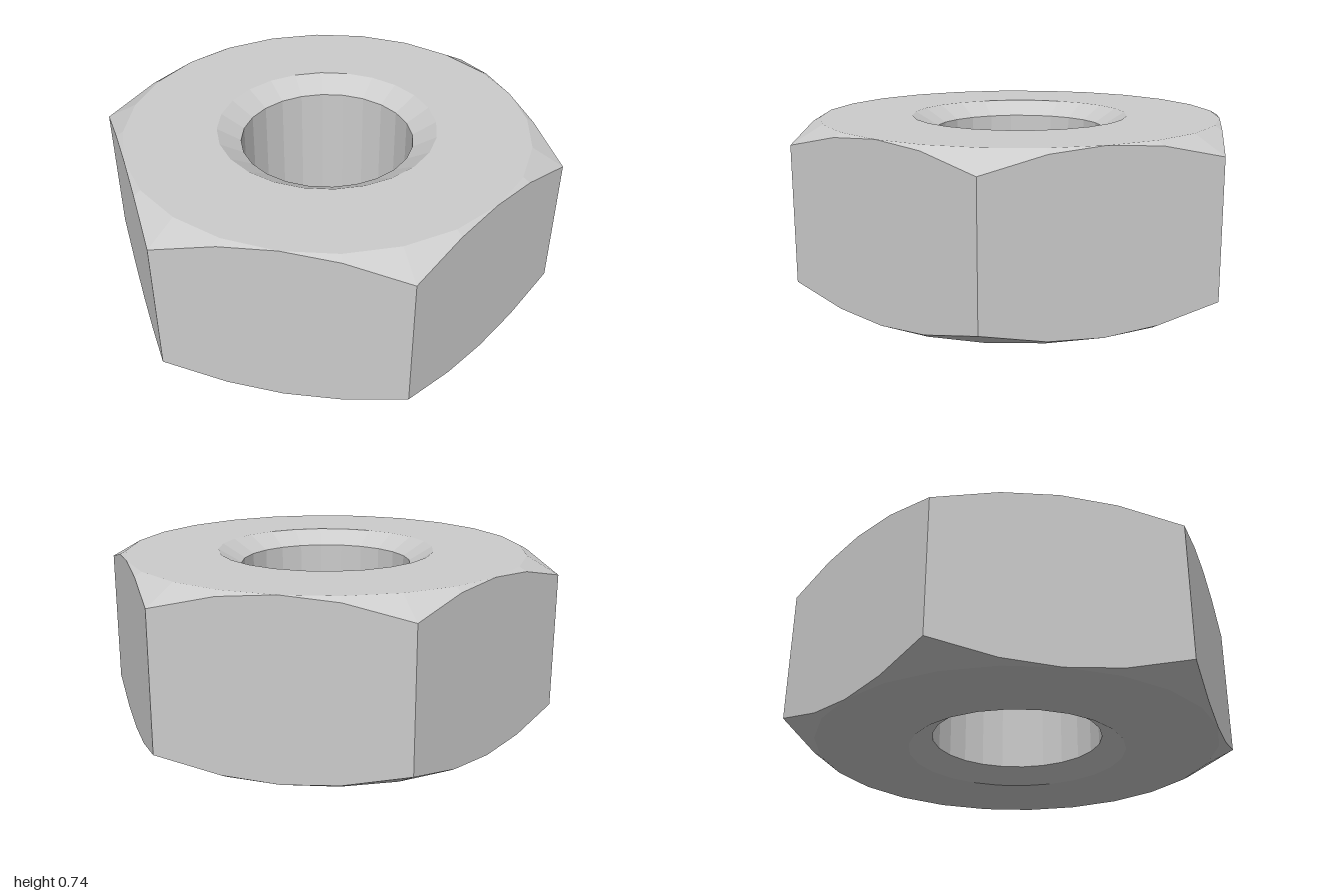
import * as THREE from 'three';

const SEGMENTS = 24;
const HEIGHT = 0.735;
const FLAT = Math.sqrt(3) / 2; // centre to flat side, corners at radius 1
const BORE = 0.37, MOUTH = 0.47, SINK = 0.06;

// Distance from the axis to the hexagon outline at an angle
function hexRadius(a) {
  const sector = Math.PI / 3;
  return FLAT / Math.cos(a - Math.round(a / sector) * sector);
}

// How far the 30 degree corner chamfer drops at an angle
const chamferDrop = (a) => (hexRadius(a) - FLAT) * Math.tan(Math.PI / 6);

// Skin a list of rings; each ring gives [radius, y] for an angle
function skin(name, rings, material) {
  const point = (ring, i) => {
    const a = ((i % SEGMENTS) / SEGMENTS) * Math.PI * 2;
    const [r, y] = ring(a);
    return [r * Math.sin(a), y, r * Math.cos(a)];
  };
  const positions = [];
  for (let k = 0; k < rings.length - 1; k++) {
    for (let i = 0; i < SEGMENTS; i++) {
      const a = point(rings[k], i), b = point(rings[k + 1], i);
      const c = point(rings[k + 1], i + 1), d = point(rings[k], i + 1);
      positions.push(...a, ...b, ...c, ...a, ...c, ...d);
    }
  }
  const geometry = new THREE.BufferGeometry();
  geometry.setAttribute('position', new THREE.Float32BufferAttribute(positions, 3));
  geometry.computeVertexNormals();
  const mesh = new THREE.Mesh(geometry, material);
  mesh.name = name;
  return mesh;
}

export function createModel() {
  const material = new THREE.MeshStandardMaterial({ color: 0xcccccc, flatShading: true });
  const nut = new THREE.Group();
  nut.name = 'hexNut';

  // Top face, corner chamfers, six flats and bottom face
  nut.add(skin('hexBody', [
    () => [MOUTH, HEIGHT],
    () => [FLAT, HEIGHT],
    (a) => [hexRadius(a), HEIGHT - chamferDrop(a)],
    (a) => [hexRadius(a), chamferDrop(a)],
    () => [FLAT, 0],
    () => [MOUTH, 0],
  ], material));

  // Through hole with a countersink at each end
  nut.add(skin('bore', [
    () => [MOUTH, 0],
    () => [BORE, SINK],
    () => [BORE, HEIGHT - SINK],
    () => [MOUTH, HEIGHT],
  ], material));

  return nut;
}
